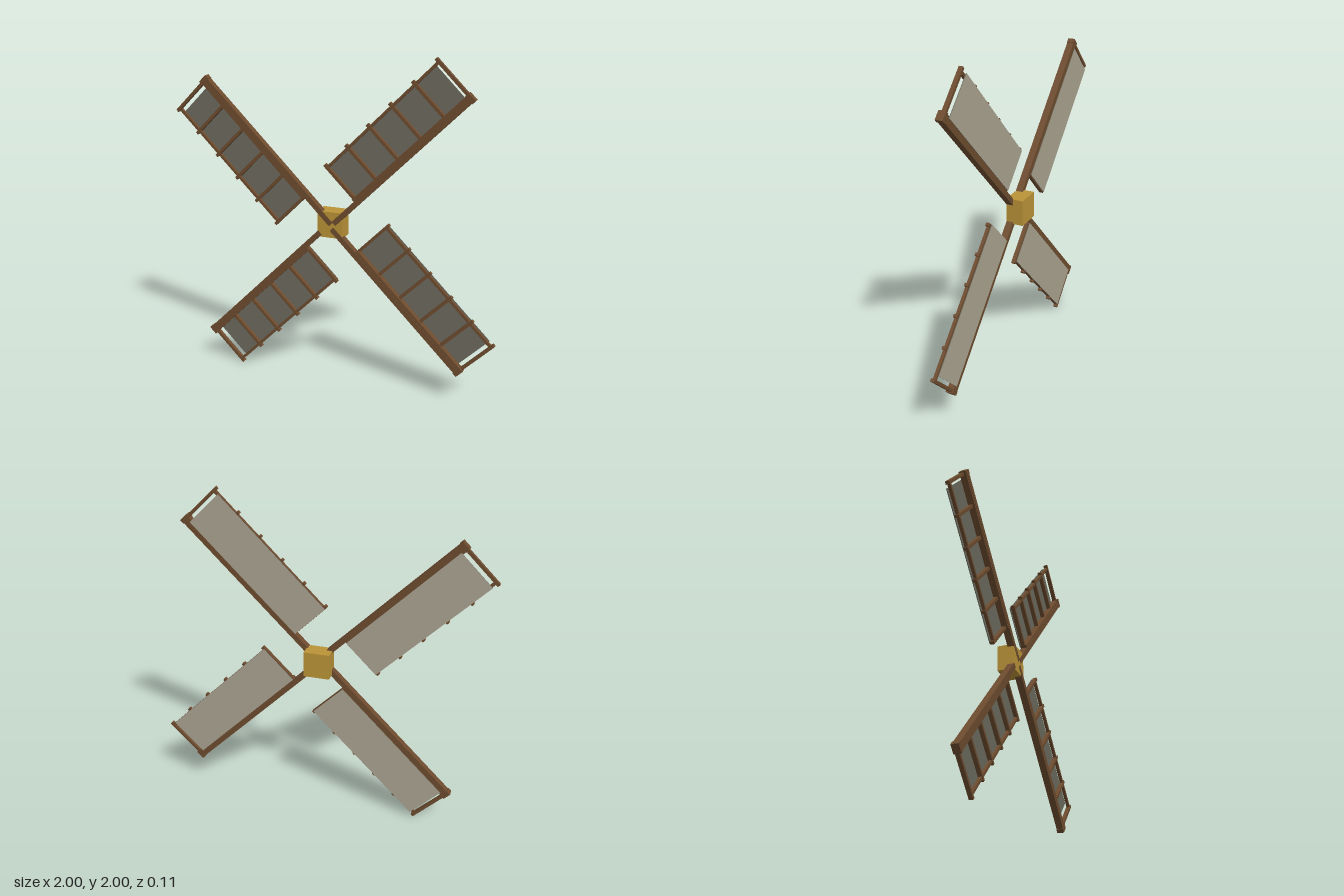
import * as THREE from 'three';

const mat = (name, color, extra = {}) => {
  const m = new THREE.MeshStandardMaterial({ color, ...extra });
  m.name = name;
  return m;
};

export function createModel() {
  const wood = mat('wood', 0x6e4c2f);
  const brass = mat('hub gold', 0xbb9438);
  const clothFront = mat('sailcloth front', 0x6c6a5e);
  const clothBack = mat('sailcloth back', 0xaaa390);

  // Box given by its minimum and maximum corners
  const block = (parent, name, material, [x0, y0, z0], [x1, y1, z1]) => {
    const geo = new THREE.BoxGeometry(x1 - x0, y1 - y0, z1 - z0);
    const mesh = new THREE.Mesh(geo, material);
    mesh.position.set((x0 + x1) / 2, (y0 + y1) / 2, (z0 + z1) / 2);
    mesh.name = name;
    parent.add(mesh);
    return mesh;
  };

  // One blade lying along +x, its lattice on the +y side
  const makeBlade = (start) => {
    const blade = new THREE.Group();
    block(blade, 'spar', wood, [start, -0.024, 0.009], [1.135, 0.008, 0.05]);
    block(blade, 'innerRail', wood, [0.215, 0.008, 0.011], [1.135, 0.025, 0.048]);
    block(blade, 'sparTip', wood, [1.112, -0.028, 0.008], [1.139, 0.028, 0.051]);
    block(blade, 'outerRail', wood, [0.215, 0.248, 0.016], [1.13, 0.264, 0.034]);
    for (let i = 0; i < 6; i++) {
      const u = 0.224 + i * 0.18;
      block(blade, 'rung', wood, [u - 0.009, 0.005, 0.013], [u + 0.009, 0.279, 0.037]);
    }
    // Cloth behind the lattice, stopping short of the last rung
    const edge = clothFront;
    block(blade, 'sail', [edge, edge, edge, edge, clothFront, clothBack],
      [0.217, 0.012, 0.004], [1.094, 0.266, 0.008]);
    return blade;
  };

  const model = new THREE.Group();
  model.name = 'windmillSails';
  const rotor = new THREE.Group();
  rotor.name = 'rotor';
  rotor.position.y = 1;
  model.add(rotor);

  block(rotor, 'hub', brass, [-0.078, -0.076, -0.054], [0.076, 0.08, 0.049]);

  // Four blades, a quarter turn apart; the starts keep the spars from overlapping
  [0.024, 0, 0.08, 0.024].forEach((start, i) => {
    const blade = makeBlade(start);
    blade.name = 'blade' + (i + 1);
    blade.rotation.z = Math.PI / 4 + i * Math.PI / 2;
    rotor.add(blade);
  });
  return model;
}
